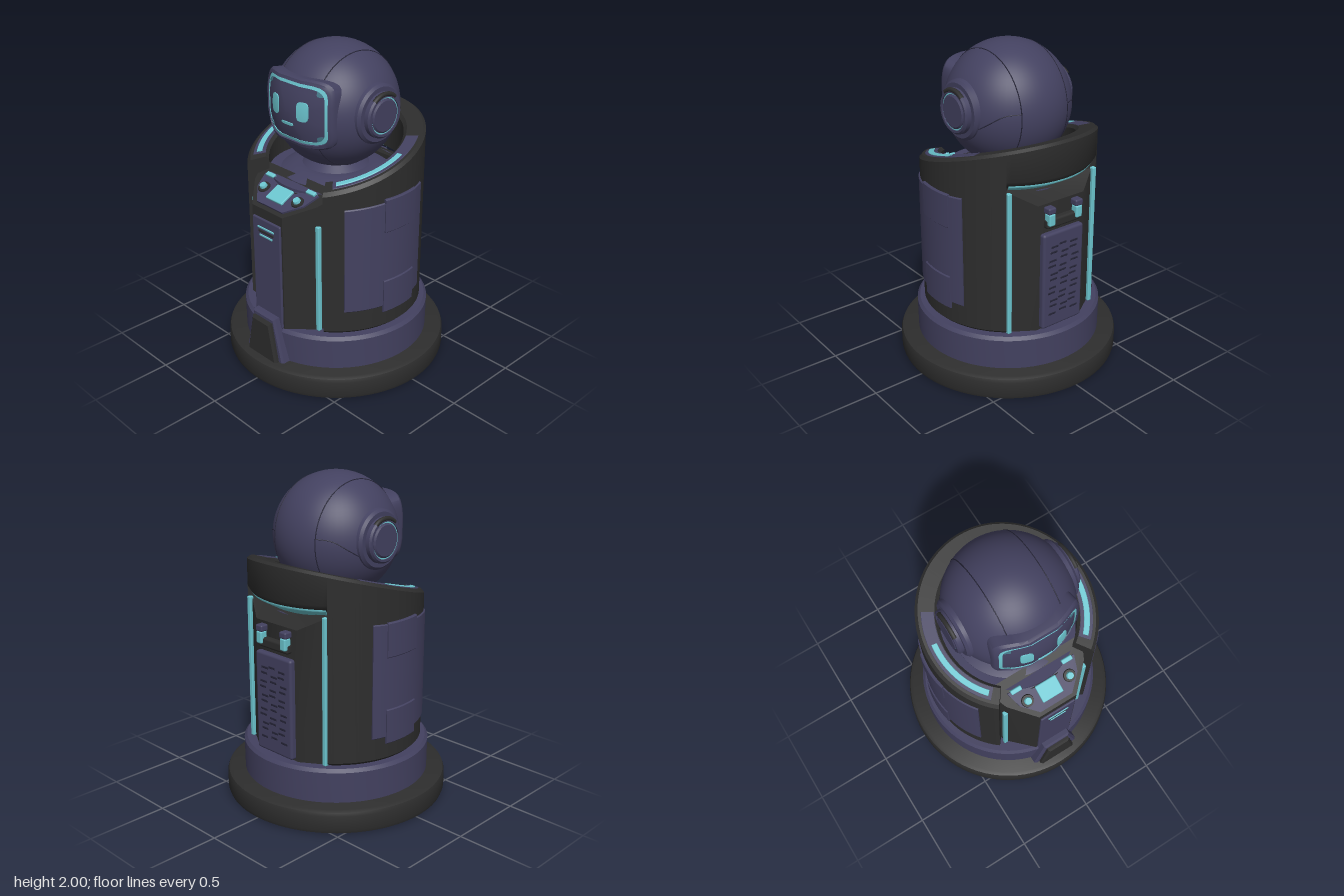
import * as THREE from 'three';
import { toCreasedNormals } from 'three/addons/utils/BufferGeometryUtils.js';
import { RoundedBoxGeometry } from 'three/addons/geometries/RoundedBoxGeometry.js';

const paint = (name, color) => Object.assign(new THREE.MeshStandardMaterial({ color }), { name });

// Joins loops of points into a closed solid; wrap joins the last loop to the first.
function loft(loops, wrap = false) {
  const n = loops[0].length, m = loops.length, tris = [];
  for (let i = 0; i < (wrap ? m : m - 1); i++) {
    const A = loops[i], B = loops[(i + 1) % m];
    for (let j = 0; j < n; j++) {
      const k = (j + 1) % n;
      tris.push([A[j], B[j], B[k]], [A[j], B[k], A[k]]);
    }
  }
  if (!wrap) for (let j = 1; j < n - 1; j++) {
    const A = loops[0], B = loops[m - 1];
    tris.push([A[0], A[j], A[j + 1]], [B[0], B[j + 1], B[j]]);
  }
  let volume = 0;
  for (const [a, b, c] of tris) volume += a.dot(b.clone().cross(c));
  const pos = [];
  for (const [a, b, c] of tris) for (const p of volume < 0 ? [a, c, b] : [a, b, c]) pos.push(p.x, p.y, p.z);
  const g = new THREE.BufferGeometry();
  g.setAttribute('position', new THREE.Float32BufferAttribute(pos, 3));
  return toCreasedNormals(g, 0.6);
}

// Curved slab around the y axis; angle 0 is the front, heights are functions of (radius, z).
function slab(r0, r1, a0, a1, yb, yt, bevel = 0.006) {
  const f = (v) => (typeof v === 'function' ? v : () => v);
  const lo = f(yb), hi = f(yt), steps = Math.max(6, Math.ceil(Math.abs(a1 - a0) * 20)), loops = [];
  for (let i = 0; i <= steps; i++) {
    const a = a0 + ((a1 - a0) * i) / steps;
    const p = (r, fn, d) => new THREE.Vector3(r * Math.sin(a), fn(r, r * Math.cos(a)) + d, r * Math.cos(a));
    loops.push([p(r0, lo, 0), p(r1 - bevel, lo, 0), p(r1, lo, bevel), p(r1, hi, -bevel),
      p(r1 - bevel, hi, 0), p(r0 + bevel, hi, 0), p(r0, hi, -bevel)]);
  }
  return loft(loops);
}

// Upright prism from an [x, z] outline, with the top at height top(z).
function prism(half, y0, top) {
  const pts = [...half, ...half.slice().reverse().map(([x, z]) => [-x, z])];
  const f = typeof top === 'function' ? top : () => top;
  return loft([pts.map(([x, z]) => new THREE.Vector3(x, y0, z)), pts.map(([x, z]) => new THREE.Vector3(x, f(z), z))]);
}

// Rounded rectangle lying on the curved face of the visor.
function visorLoop(cx, cy, hx, hy, off, e = 0.36) {
  const pow = (v) => Math.sign(v) * Math.abs(v) ** e;
  return Array.from({ length: 64 }, (_, i) => {
    const t = ((i + 0.5) / 64) * Math.PI * 2, x = cx + hx * pow(Math.cos(t)), y = cy + hy * pow(Math.sin(t));
    return new THREE.Vector3(x, y, 0.383 + off - 1.4 * x * x - 0.9 * (y - 1.66) ** 2);
  });
}
const visorPatch = (cx, cy, hx, hy, back, off, e) => loft([visorLoop(cx, cy, hx, hy, back, e),
  ...[1, 0.75, 0.5, 0.25, 0.03].map((s) => visorLoop(cx, cy, hx * s, hy * s, off, e))]);

const lathe = (pts) => toCreasedNormals(new THREE.LatheGeometry(pts.map(([x, y]) => new THREE.Vector2(x, y)), 80), 0.5);

export function createModel() {
  const navy = paint('navy', 0x434160), dark = paint('charcoal', 0x2d2d2d);
  const cyan = paint('cyan glow', 0x6cc6d0), seam = paint('seam', 0x262538), teal = paint('muted teal', 0x47798a);
  const model = new THREE.Group();
  const add = (name, geo, mat, x = 0, y = 0, z = 0, parent = model) => {
    const mesh = new THREE.Mesh(geo, mat);
    mesh.name = name;
    mesh.position.set(x, y, z);
    parent.add(mesh);
    return mesh;
  };
  const box = (w, h, d, r = 0.006) => new RoundedBoxGeometry(w, h, d, 2, Math.min(r, w / 3, h / 3, d / 3));
  const PI = Math.PI;

  // Round base and plinth
  add('base', lathe([[0, 0], [0.66, 0], [0.68, 0.01], [0.687, 0.03], [0.687, 0.12], [0.68, 0.14], [0.66, 0.15], [0, 0.15]]), dark);
  add('plinth', lathe([[0, 0.14], [0.575, 0.14], [0.577, 0.34], [0.56, 0.36], [0, 0.36]]), navy);

  // Inner core, floor and neck collar
  add('core', new THREE.CylinderGeometry(0.41, 0.41, 0.83, 64), dark, 0, 0.775);
  add('floor', new THREE.CylinderGeometry(0.4, 0.4, 0.02, 64), navy, 0, 1.2);
  add('collar', lathe([[0, 1.19], [0.33, 1.19], [0.33, 1.215], [0.25, 1.25], [0.2, 1.25], [0.14, 1.3], [0, 1.3]]), navy);

  // Outer shell with a slanted rim, open at the front and, below the header, at the back
  const rim = (r, z) => 1.39 - 0.287 * z;
  const rimAt = (d) => (r, z) => rim(r, z) + d;
  const headerBase = (r) => 1.24 + (r - 0.4) * 0.56;
  add('backHeader', slab(0.4, 0.53, PI - 0.68, PI + 0.68, headerBase, rim, 0.018), dark);
  add('headerLining', slab(0.41, 0.505, PI - 0.66, PI + 0.66, (r) => headerBase(r) - 0.012, (r) => headerBase(r) + 0.002, 0.002), cyan);
  for (const s of [1, -1]) {
    const side = s > 0 ? 'left' : 'right';
    const arc = (name, mat, r0, r1, a0, a1, ...rest) => add(side + name, slab(r0, r1, s * a0, s * a1, ...rest), mat);
    arc('Shell', dark, 0.4, 0.53, 0.66, PI - 0.68, 0.36, rim, 0.018);
    arc('RimInlay', navy, 0.42, 0.495, 0.76, 2.1, rimAt(-0.02), rimAt(0.003), 0.002);
    arc('RimLight', cyan, 0.442, 0.476, 0.8, 1.7, rimAt(-0.02), rimAt(0.008), 0.003);
    arc('SidePanel', navy, 0.51, 0.539, 0.89, 1.97, 0.51, (r, z) => 1.195 - 0.06 * z);
    arc('UpperTab', navy, 0.52, 0.547, 1.34, 1.8, 1.0, 1.21);
    arc('LowerTab', navy, 0.52, 0.547, 1.34, 1.8, 0.47, 0.685);
    add(side + 'FrontLight', box(0.028, 0.69, 0.028), cyan, s * 0.277, 0.705, 0.408);
    add(side + 'BackLight', box(0.028, 0.9, 0.03), cyan, s * 0.315, 0.81, -0.41);
  }

  // Front column with its inset panel and vents
  add('frontColumn', prism([[0.33, 0.28], [0.27, 0.41], [0.13, 0.55]], 0.36, (z) => 1.1 + (0.55 - z) * 0.5), dark);
  add('frontPanel', box(0.24, 0.68, 0.025, 0.008), navy, 0, 0.7, 0.55);
  add('upperVent', box(0.14, 0.012, 0.008), cyan, 0, 0.985, 0.564);
  add('ventSlot', box(0.13, 0.014, 0.006), dark, 0, 0.96, 0.563);
  add('lowerVent', box(0.11, 0.012, 0.008), cyan, 0, 0.935, 0.564);

  // Wedge clamp at the foot of the column
  const wedge = (wb, wt, h, z) => loft([[0.5, 0], [z, 0], [z - 0.012, 0]].map(([zz], i) => {
    const q = i === 2 ? 0.012 : 0;
    return [[-wb + q, 0.15], [wb - q, 0.15], [wt - q, h - q], [-wt + q, h - q]].map(([x, y]) => new THREE.Vector3(x, y, i === 1 ? z - 0.012 : i === 2 ? z : zz));
  }));
  add('clampFrame', wedge(0.165, 0.095, 0.43, 0.605), navy);
  add('clamp', wedge(0.13, 0.08, 0.4, 0.632), dark);

  // Sloped console
  const desk = new THREE.Group();
  desk.name = 'console';
  desk.position.set(0, 1.145, 0.46);
  desk.rotation.x = Math.atan(0.5);
  model.add(desk);
  const deskPart = (...a) => add(...a, desk);
  deskPart('consolePlate', prism([[0.23, -0.12], [0.2, -0.02], [0.11, 0.075]], -0.01, 0.012), navy, 0, 0, 0);
  deskPart('consoleScreen', box(0.14, 0.025, 0.11), cyan, 0, 0.012, -0.02);
  for (const s of [1, -1]) {
    deskPart('knobSeat', new THREE.CylinderGeometry(0.036, 0.042, 0.02, 24), dark, s * 0.145, 0.012, -0.025);
    deskPart('knob', new THREE.CylinderGeometry(0.02, 0.027, 0.035, 24), cyan, s * 0.145, 0.02, -0.025);
    deskPart('sideKey', box(0.07, 0.03, 0.028), cyan, s * 0.175, 0.012, -0.115);
  }

  // Back column, ribbed hatch and clips
  add('backColumn', prism([[0.31, -0.28], [0.31, -0.4], [0.17, -0.49]], 0.36, (z) => Math.min(1.25, 1.17 + (z + 0.49) * 0.9)), dark);
  add('hatch', box(0.3, 0.62, 0.05, 0.02), navy, 0, 0.68, -0.5);
  for (let i = 0; i < 11; i++) for (let j = 0; j < 3; j++) {
    const shift = (((i * 7 + j * 5) % 4) - 1.5) * 0.006;
    add('hatchSlot', box(0.055, 0.014, 0.008), seam, (j - 1) * 0.078 + shift, 0.46 + i * 0.044 + ((j + i) % 2) * 0.01, -0.523);
  }
  add('clipBar', box(0.25, 0.06, 0.05, 0.015), dark, 0, 1.05, -0.5);
  for (const s of [1, -1]) {
    add('clip', box(0.045, 0.075, 0.05, 0.01), cyan, s * 0.1, 1.08, -0.515);
    add('clipCap', box(0.055, 0.04, 0.055, 0.01), navy, s * 0.1, 1.135, -0.512);
  }

  // Head with panel seams
  add('head', new THREE.SphereGeometry(0.375, 64, 40), navy, 0, 1.625);
  for (const s of [1, -1]) {
    add('headSeam', new THREE.TorusGeometry(0.337, 0.003, 6, 80), seam, s * 0.165, 1.625).rotation.y = PI / 2;
    const line = [[0.35, -0.1, -0.09], [0.31, -0.03, -0.2], [0.24, 0.03, -0.28], [0.165, 0.04, -0.33]]
      .map((p) => new THREE.Vector3(...p).setLength(0.375)).map((p) => p.set(s * p.x, p.y + 1.625, p.z));
    add('cheekSeam', new THREE.TubeGeometry(new THREE.CatmullRomCurve3(line), 24, 0.003, 6), seam);

    // Ear discs turned outwards
    const ear = new THREE.Group();
    ear.name = s > 0 ? 'leftEar' : 'rightEar';
    ear.position.set(0, 1.64, 0);
    ear.rotation.z = -s * PI / 2;
    model.add(ear);
    add('earBase', lathe([[0, 0.28], [0.185, 0.28], [0.175, 0.345], [0.16, 0.36], [0, 0.36]]), navy, 0, 0, 0, ear);
    add('earRing', lathe([[0, 0.35], [0.135, 0.35], [0.132, 0.385], [0.122, 0.395], [0.108, 0.395], [0.108, 0.37]]), navy, 0, 0, 0, ear);
    add('earLight', new THREE.CylinderGeometry(0.109, 0.109, 0.02, 48), cyan, 0, 0.377, 0, ear);
    add('earCap', lathe([[0, 0.36], [0.1, 0.36], [0.1, 0.39], [0.09, 0.398], [0, 0.398]]), navy, 0, 0, 0, ear);
    const guard = new THREE.TorusGeometry(0.125, 0.014, 8, 24, 1.4);
    guard.rotateZ(PI / 2 - 0.7).rotateY(s * PI / 2);
    add('earGuard', guard, dark, s * 0.385, 1.64, 0);
  }

  // Visor: flared frame, glowing outline and face
  const ring = (list) => loft(list.map(([hx, hy, off]) => visorLoop(0, 1.66, hx, hy, off)), true);
  add('visorFrame', ring([[0.262, 0.19, -0.1], [0.275, 0.203, 0], [0.267, 0.195, 0.014], [0.25, 0.178, 0.014], [0.243, 0.171, -0.02]]), navy);
  add('visorLight', ring([[0.246, 0.174, -0.02], [0.246, 0.174, 0.005], [0.23, 0.158, 0.005], [0.23, 0.158, -0.02]]), cyan);
  add('face', visorPatch(0, 1.66, 0.245, 0.173, -0.06, 0), navy);
  for (const s of [1, -1]) {
    add('eye', visorPatch(s * 0.11, 1.68, 0.035, 0.056, -0.002, 0.006, 0.5), cyan);
    for (const t of [1, -1]) add('faceCorner', visorPatch(s * 0.208, 1.66 + t * 0.138, 0.024, 0.022, -0.002, 0.004, 0.6), teal);
  }
  add('mouth', visorPatch(0, 1.592, 0.045, 0.008, -0.002, 0.006), cyan);

  return model;
}
